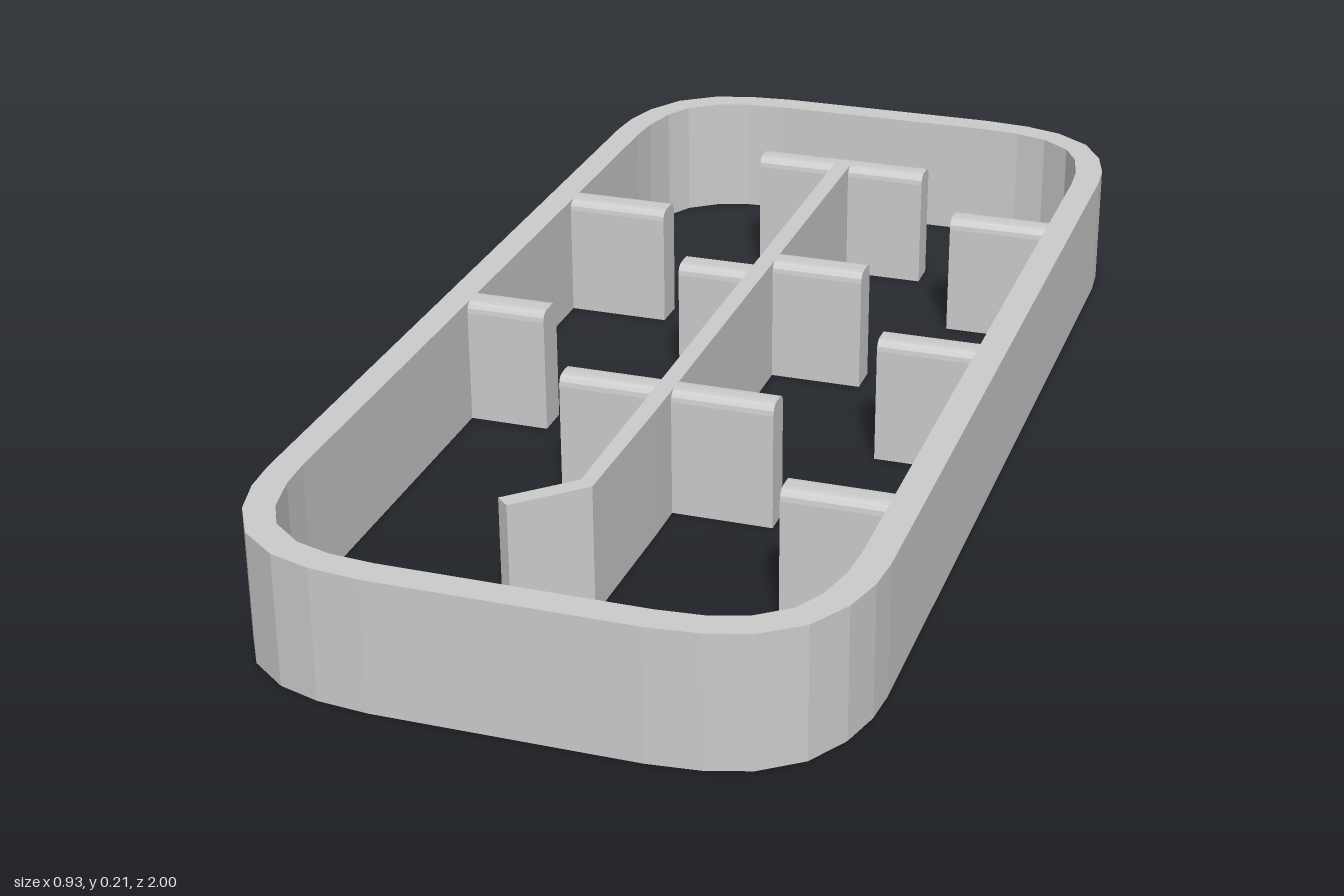
import * as THREE from 'three';

const H = 0.21;
const material = new THREE.MeshStandardMaterial({ color: 0xcccccc });

// Mirror one corner's points into a full four-cornered outline
function outline(corner) {
  const mirror = (sx, sz) => corner.map(([x, z]) => new THREE.Vector2(x * sx, z * sz));
  return [...mirror(1, 1).reverse(), ...mirror(-1, 1), ...mirror(-1, -1).reverse(), ...mirror(1, -1)];
}

// Raise a plan shape (x, z) from the ground to the full height
function raise(shape) {
  const geometry = new THREE.ExtrudeGeometry(shape, { depth: H, bevelEnabled: false });
  return geometry.rotateX(Math.PI / 2).translate(0, H, 0);
}

// Upright plate running along x, with softened top edges
function plate(x0, x1, z, thickness = 0.052) {
  const t = thickness / 2, r = 0.018;
  const s = new THREE.Shape();
  s.moveTo(-t, 0);
  s.lineTo(t, 0);
  s.lineTo(t, H - r);
  s.quadraticCurveTo(t, H, t - r, H);
  s.lineTo(-t + r, H);
  s.quadraticCurveTo(-t, H, -t, H - r);
  const geometry = new THREE.ExtrudeGeometry(s, { depth: x1 - x0, bevelEnabled: false, curveSegments: 4 });
  return geometry.rotateY(Math.PI / 2).translate(x0, 0, z);
}

export function createModel() {
  const group = new THREE.Group();
  const add = (name, geometry) => {
    const mesh = new THREE.Mesh(geometry, material);
    mesh.name = name;
    group.add(mesh);
  };

  // Outer wall: faceted rounded rectangle with a matching opening
  const outer = [[0.2, 1], [0.28, 0.992], [0.345, 0.972], [0.405, 0.928], [0.442, 0.865], [0.46, 0.8], [0.465, 0.74]];
  const inner = [[0.2, 0.953], [0.27, 0.947], [0.325, 0.93], [0.375, 0.892], [0.4, 0.845], [0.415, 0.78], [0.419, 0.72]];
  const wall = new THREE.Shape(outline(outer));
  wall.holes.push(new THREE.Path(outline(inner)));
  add('outerWall', raise(wall));

  // Central divider with an angled front end
  const spine = [[-0.02, -0.7], [0.01, -0.7], [0.008, 0.4], [0.003, 0.655], [-0.092, 0.745], [-0.112, 0.727], [-0.02, 0.64]];
  add('centralDivider', raise(new THREE.Shape(spine.map(([x, z]) => new THREE.Vector2(x, z)))));

  // Cross plates and short tabs on the divider
  add('rearCrossPlate', plate(-0.16, 0.15, -0.7));
  add('frontCrossPlate', plate(-0.175, 0.172, 0.302, 0.05));
  add('dividerTabLeft', plate(0, 0.165, -0.228, 0.055));
  add('dividerTabRight', plate(-0.14, -0.01, -0.17, 0.055));

  // Tabs reaching inward from the long walls: [inner end x, z]
  [[0.25, -0.508], [0.26, 0.026], [0.26, 0.558]].forEach(([x, z], i) => add(`leftWallTab${i + 1}`, plate(x, 0.43, z)));
  [[-0.243, -0.39], [-0.285, 0.085]].forEach(([x, z], i) => add(`rightWallTab${i + 1}`, plate(-0.43, x, z, 0.056)));

  return group;
}
